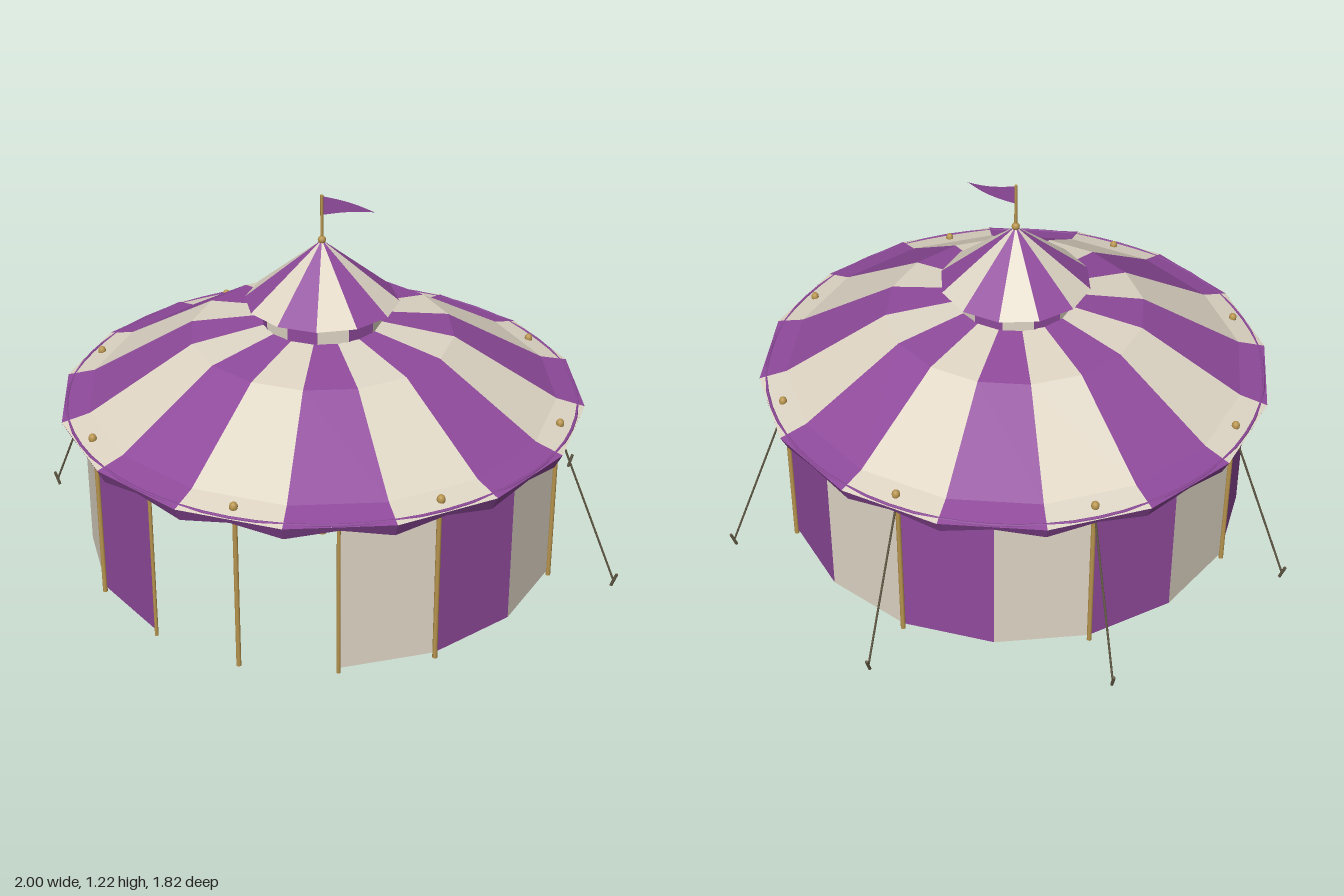
import * as THREE from 'three';

const mat = (name, color, side = THREE.FrontSide) => {
  const m = new THREE.MeshStandardMaterial({ color, side });
  m.name = name;
  return m;
};

// Point at radius r, height y, angle a (0 faces the front, growing toward +x)
const polar = (r, y, a) => new THREE.Vector3(r * Math.sin(a), y, r * Math.cos(a));

// Flat-shaded geometry from four-cornered faces
function quads(list) {
  const p = [];
  for (const [a, b, c, d] of list)
    for (const v of [a, b, c, a, c, d]) p.push(v.x, v.y, v.z);
  const g = new THREE.BufferGeometry();
  g.setAttribute('position', new THREE.Float32BufferAttribute(p, 3));
  g.computeVertexNormals();
  return g;
}

// Chosen sectors of an n-sided turned profile of [radius, y], listed top to bottom
function sectors(profile, n, shift, keep) {
  const list = [], step = (Math.PI * 2) / n;
  for (let k = 0; k < n; k++) {
    if (!keep(k)) continue;
    const a = (k + shift) * step, b = a + step;
    for (let i = 0; i < profile.length - 1; i++) {
      const [r, y] = profile[i], [s, z] = profile[i + 1];
      list.push([polar(r, y, a), polar(s, z, a), polar(s, z, b), polar(r, y, b)]);
    }
  }
  return quads(list);
}

export function createModel() {
  const model = new THREE.Group();
  model.name = 'stripedTent';
  const tent = new THREE.Group();
  tent.name = 'tent';
  tent.position.z = 0.085;
  model.add(tent);

  const purple = mat('purpleCanvas', 0x8f4a9b, THREE.DoubleSide);
  const cream = mat('creamCanvas', 0xded5c4, THREE.DoubleSide);
  const gold = mat('goldenWood', 0xb8954e);
  const rope = mat('darkRope', 0x5e5642);

  const add = (name, geometry, material) => {
    const m = new THREE.Mesh(geometry, material);
    m.name = name;
    tent.add(m);
    return m;
  };

  // Straight round bar between two points
  const bar = (name, from, to, r, material) => {
    const d = to.clone().sub(from);
    const m = add(name, new THREE.CylinderGeometry(r, r, d.length(), 8), material);
    m.position.copy(from).addScaledVector(d, 0.5);
    m.quaternion.setFromUnitVectors(new THREE.Vector3(0, 1, 0), d.normalize());
  };

  // Striped shells: even sectors take the first colour, odd the second
  const striped = (name, profile, n, shift, even, odd, keep = () => true) => {
    add(name + 'EvenStripes', sectors(profile, n, shift, k => k % 2 === 0 && keep(k)), even);
    add(name + 'OddStripes', sectors(profile, n, shift, k => k % 2 === 1 && keep(k)), odd);
  };

  // Main roof, cupola drum and cupola roof
  striped('roof', [[0.19, 0.803], [0.42, 0.765], [0.75, 0.568], [0.84, 0.545]], 16, -0.5, cream, purple);
  striped('cupolaWall', [[0.19, 0.875], [0.19, 0.785]], 12, -0.5, purple, cream);
  striped('cupolaRoof', [[0.002, 1.07], [0.244, 0.87]], 12, -0.5, purple, cream);

  // Side walls, with the two front panels left open as the entrance
  striped('wall', [[0.768, 0.55], [0.768, 0.015]], 16, 0, purple, cream, k => k > 0 && k < 15);

  // Zigzag valance, hanging lowest at the roof corners
  const valance = [], half = Math.PI / 16;
  for (let k = 0; k < 32; k++) {
    const edge = j => j % 2
      ? [polar(0.84, 0.545, j * half), polar(0.816, 0.497, j * half)]
      : [polar(0.824, 0.545, j * half), polar(0.816, 0.529, j * half)];
    const [a, b] = edge(k), [d, c] = edge(k + 1);
    valance.push([a, b, c, d]);
  }
  add('valance', quads(valance), purple);

  // Round cord along the eave
  const cord = add('eaveCord', new THREE.TorusGeometry(0.817, 0.005, 6, 64), purple);
  cord.rotation.x = Math.PI / 2;
  cord.position.y = 0.547;

  // Perimeter posts with knobs, and guy ropes with stakes on the sides and back
  for (let i = 0; i < 8; i++) {
    const a = (i * Math.PI) / 4;
    bar('wallPost', polar(0.772, 0, a), polar(0.772, 0.555, a), 0.008, gold);
    const knob = add('postKnob', new THREE.SphereGeometry(0.013, 12, 8), gold);
    knob.position.copy(polar(0.779, 0.561, a));
    knob.scale.y = 1.25;
    if (i >= 2 && i <= 6) {
      bar('guyRope', polar(0.775, 0.535, a), polar(0.985, 0.022, a), 0.0035, rope);
      bar('groundStake', polar(0.978, 0.003, a), polar(0.994, 0.048, a), 0.005, rope);
    }
  }

  // Slim posts at both sides of the entrance
  for (const s of [-1, 1]) {
    const a = (s * Math.PI) / 8;
    bar('entrancePost', polar(0.77, 0, a), polar(0.77, 0.555, a), 0.006, gold);
  }

  // Centre pole, finial and flagpole
  bar('centrePole', polar(0, 0, 0), polar(0, 1.06, 0), 0.012, gold);
  const finial = add('finial', new THREE.SphereGeometry(0.013, 12, 8), gold);
  finial.position.y = 1.072;
  bar('flagpole', polar(0, 1.06, 0), polar(0, 1.22, 0), 0.005, gold);

  // Pennant, tapering to a point with a slight ripple
  const flag = [], N = 6;
  const col = i => {
    const t = i / N, h = 0.031 * (1 - t), z = -0.014 * Math.sin(t * Math.PI);
    return [1, -1].map(s => new THREE.Vector3(0.17 * t, 1.185 + s * h, z));
  };
  for (let i = 0; i < N; i++) {
    const [a, b] = col(i), [d, c] = col(i + 1);
    flag.push([a, b, c, d]);
  }
  add('pennant', quads(flag), purple);

  return model;
}
